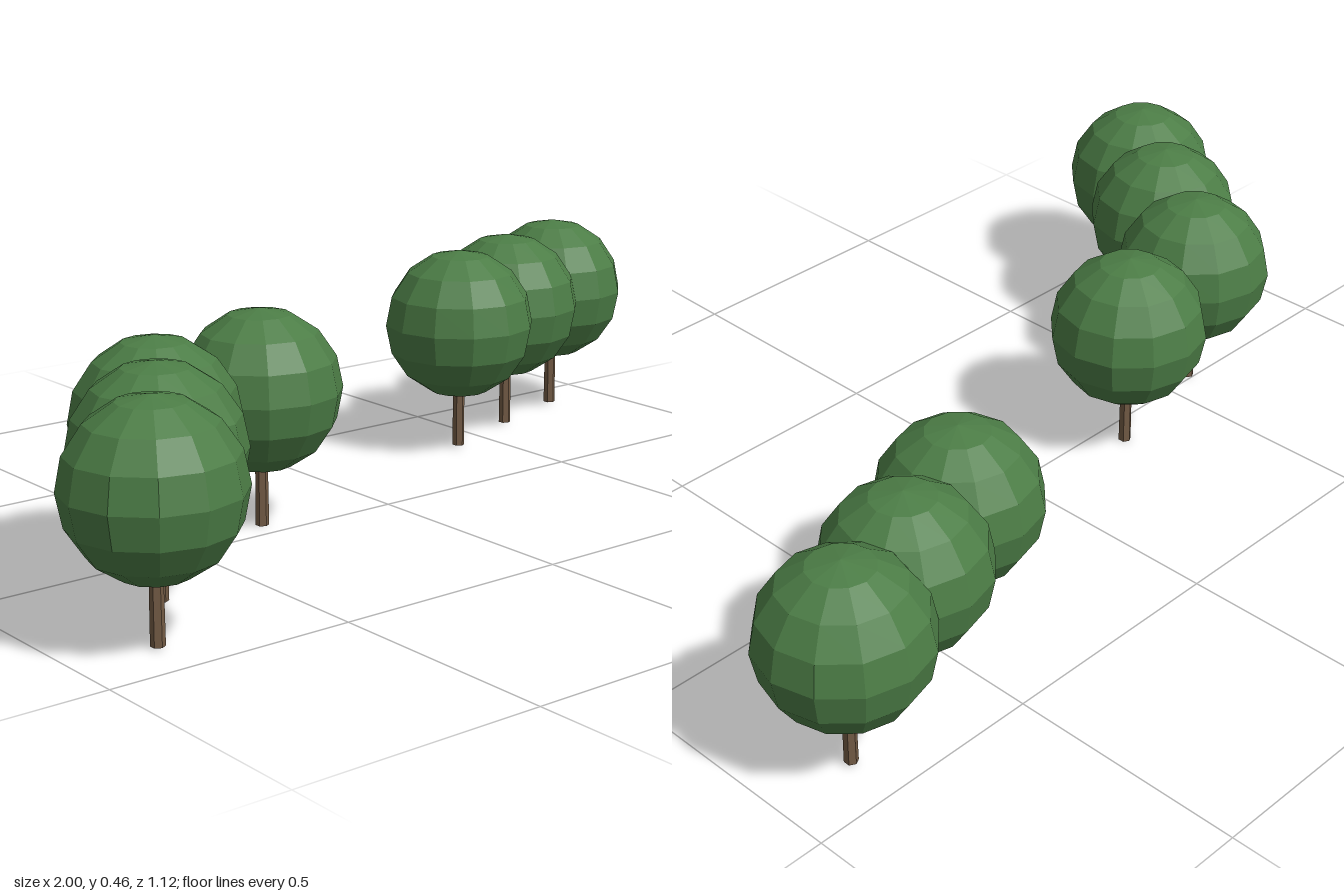
import * as THREE from 'three';

export function createModel() {
  const model = new THREE.Group();
  model.name = 'treeRows';

  const leafGreen = new THREE.MeshStandardMaterial({ color: 0x4c7d46, flatShading: true });
  leafGreen.name = 'leafGreen';
  const barkBrown = new THREE.MeshStandardMaterial({ color: 0x735b45, flatShading: true });
  barkBrown.name = 'barkBrown';

  // Shared low-poly parts, with the tree's foot at y = 0
  const crownGeometry = new THREE.SphereGeometry(0.1675, 12, 8).translate(0, 0.284, 0);
  const trunkGeometry = new THREE.CylinderGeometry(0.0127, 0.0138, 0.15, 6).translate(0, 0.075, 0);

  function addTree(row, [x, y, z]) {
    const tree = new THREE.Group();
    tree.name = 'tree';
    const crown = new THREE.Mesh(crownGeometry, leafGreen);
    crown.name = 'crown';
    const trunk = new THREE.Mesh(trunkGeometry, barkBrown);
    trunk.name = 'trunk';
    tree.add(trunk, crown);
    tree.position.set(x, y, z);
    row.add(tree);
  }

  // Foot of each tree, on gently uneven ground
  const rows = {
    rightRow: [
      [-0.832, 0.004, 0.39],
      [-0.705, 0.008, 0.21],
      [-0.58, 0.001, 0.015],
      [-0.285, 0.001, -0.055],
      ],
    leftRow: [
      [0.405, 0.006, -0.242],
      [0.618, 0.007, -0.32],
      [0.829, 0.008, -0.39],
    ],
  };
  for (const [name, feet] of Object.entries(rows)) {
    const row = new THREE.Group();
    row.name = name;
    feet.forEach((foot) => addTree(row, foot));
    model.add(row);
  }
  return model;
}
